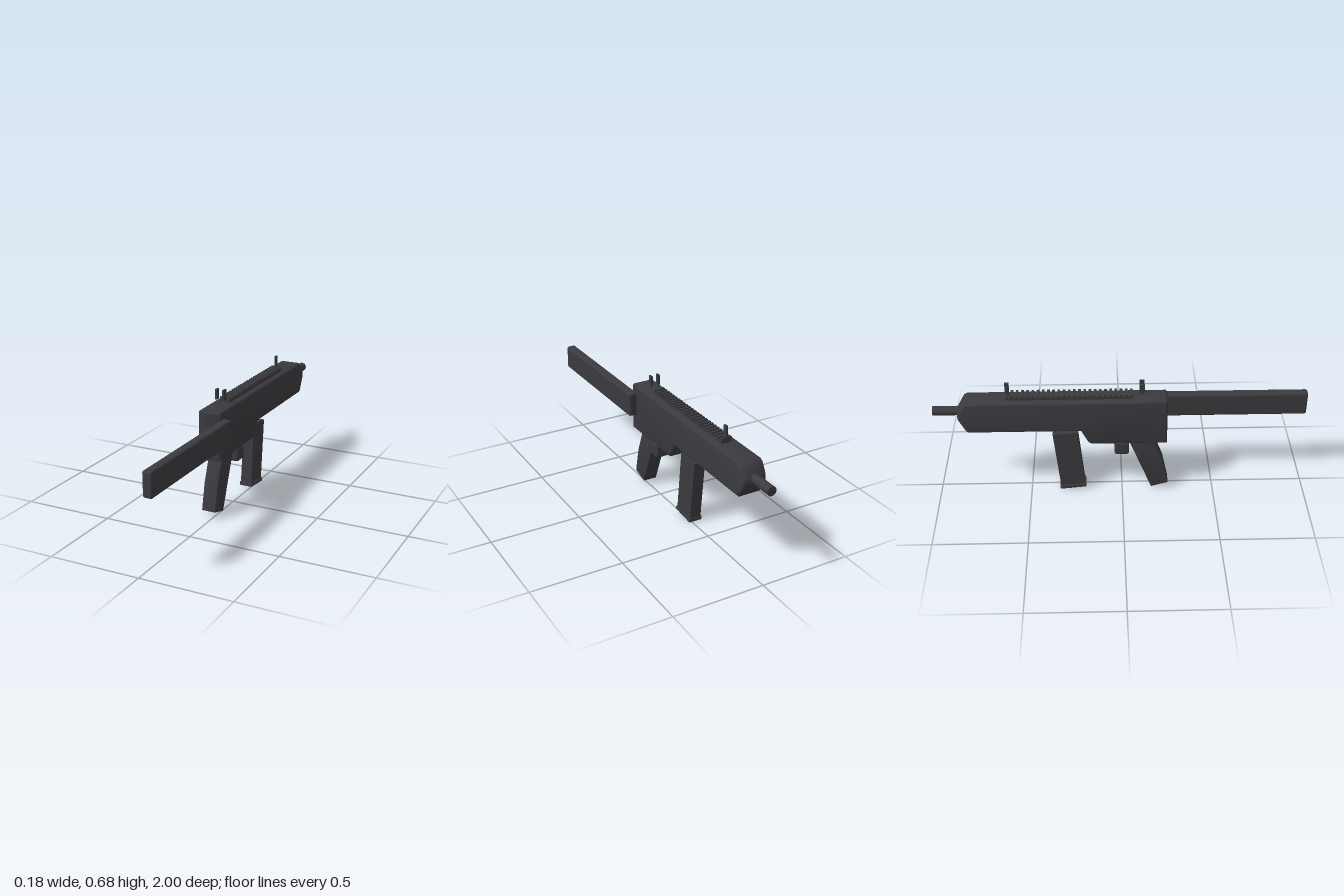
import * as THREE from 'three';
import { toCreasedNormals } from 'three/addons/utils/BufferGeometryUtils.js';
import { RoundedBoxGeometry } from 'three/addons/geometries/RoundedBoxGeometry.js';

const CX = -0.021; // centre line of the receiver

// Side profile of [z, y] points, extruded across x with rounded edges
function sideExtrude(points, width, bevel = 0, holes = []) {
  const toVec = ([z, y]) => new THREE.Vector2(-z, y);
  const shape = new THREE.Shape(points.map(toVec));
  for (const h of holes) shape.holes.push(new THREE.Path(h.map(toVec)));
  const geo = new THREE.ExtrudeGeometry(shape, {
    depth: width - 2 * bevel, bevelEnabled: bevel > 0,
    bevelThickness: bevel, bevelSize: bevel, bevelOffset: -bevel, bevelSegments: 4,
  });
  geo.translate(0, 0, -(width - 2 * bevel) / 2);
  geo.rotateY(Math.PI / 2);
  return toCreasedNormals(geo, 0.6);
}

const rect = (z, y, w, h) => [
  [z - w / 2, y - h / 2], [z + w / 2, y - h / 2], [z + w / 2, y + h / 2], [z - w / 2, y + h / 2],
];

export function createModel() {
  const model = new THREE.Group();
  const charcoal = new THREE.MeshStandardMaterial({ color: 0x3b3a3f });
  charcoal.name = 'charcoal';

  const add = (name, geo, x, y, z, parent = model) => {
    const mesh = new THREE.Mesh(geo, charcoal);
    mesh.name = name;
    mesh.position.set(x, y, z);
    parent.add(mesh);
    return mesh;
  };
  const box = (name, w, h, d, x, y, z, parent) =>
    add(name, new THREE.BoxGeometry(w, h, d), x, y, z, parent);

  // Receiver with stepped underside and pointed nose
  add('receiver', sideExtrude([
    [0.24, 0.325], [-0.165, 0.325], [-0.182, 0.337], [-0.22, 0.41], [-0.815, 0.41],
    [-0.828, 0.42], [-0.866, 0.495], [-0.866, 0.525], [-0.834, 0.583], [-0.815, 0.593],
    [0.232, 0.593], [0.24, 0.585],
  ], 0.128, 0.014), CX, 0, 0);

  // Side stock
  add('stock', new RoundedBoxGeometry(0.052, 0.134, 0.81, 4, 0.012), 0.061, 0.486, 0.595);

  // Barrel
  const barrel = new THREE.CylinderGeometry(0.025, 0.025, 0.16, 32);
  barrel.rotateX(Math.PI / 2);
  add('barrel', barrel, CX, 0.516, -0.92);

  // Top rail with cross teeth
  const rail = new THREE.Group();
  rail.name = 'topRail';
  model.add(rail);
  box('railBase', 0.056, 0.022, 0.67, CX, 0.597, -0.277, rail);
  const teeth = 25;
  for (let i = 0; i < teeth; i++) {
    box('railTooth', 0.06, 0.012, 0.014, CX, 0.614, 0.05 - i * (0.654 / (teeth - 1)), rail);
  }

  // Sights: two rear posts and one front post
  for (const side of [-1, 1]) {
    box('rearSight', 0.011, 0.056, 0.026, CX - 0.0005 + side * 0.0215, 0.65, 0.105);
  }
  box('frontSight', 0.011, 0.073, 0.022, CX, 0.6465, -0.601);

  // Raked grip
  add('grip', sideExtrude([
    [0.163, 0.34], [0.222, 0.185], [0.253, 0.04], [0.16, 0.013], [0.032, 0.34],
  ], 0.08, 0.003), CX, 0, 0);

  // Trigger block
  add('triggerBlock', new RoundedBoxGeometry(0.135, 0.08, 0.078, 4, 0.013), CX, 0.296, -0.003);

  // Tilted magazine: core, pierced side plates and base plate
  const magazine = new THREE.Group();
  magazine.name = 'magazine';
  magazine.position.set(CX, 0.193, -0.288);
  magazine.rotation.x = -0.1;
  model.add(magazine);
  box('magazineCore', 0.052, 0.348, 0.133, 0, 0.009, 0, magazine);
  const holes = [];
  for (let row = 0; row < 10; row++) {
    for (let col = -1; col <= 1; col++) {
      holes.push(rect(col * 0.026, -0.115 + row * 0.0225 + col * 0.005, 0.013, 0.008));
    }
  }
  const plate = sideExtrude(rect(0, 0.009, 0.133, 0.348), 0.008, 0, holes);
  for (const side of [-1, 1]) add('magazineSide', plate, side * 0.028, 0, 0, magazine);
  add('magazineBase', new RoundedBoxGeometry(0.076, 0.022, 0.143, 3, 0.004), 0, -0.174, 0, magazine);

  return model;
}
